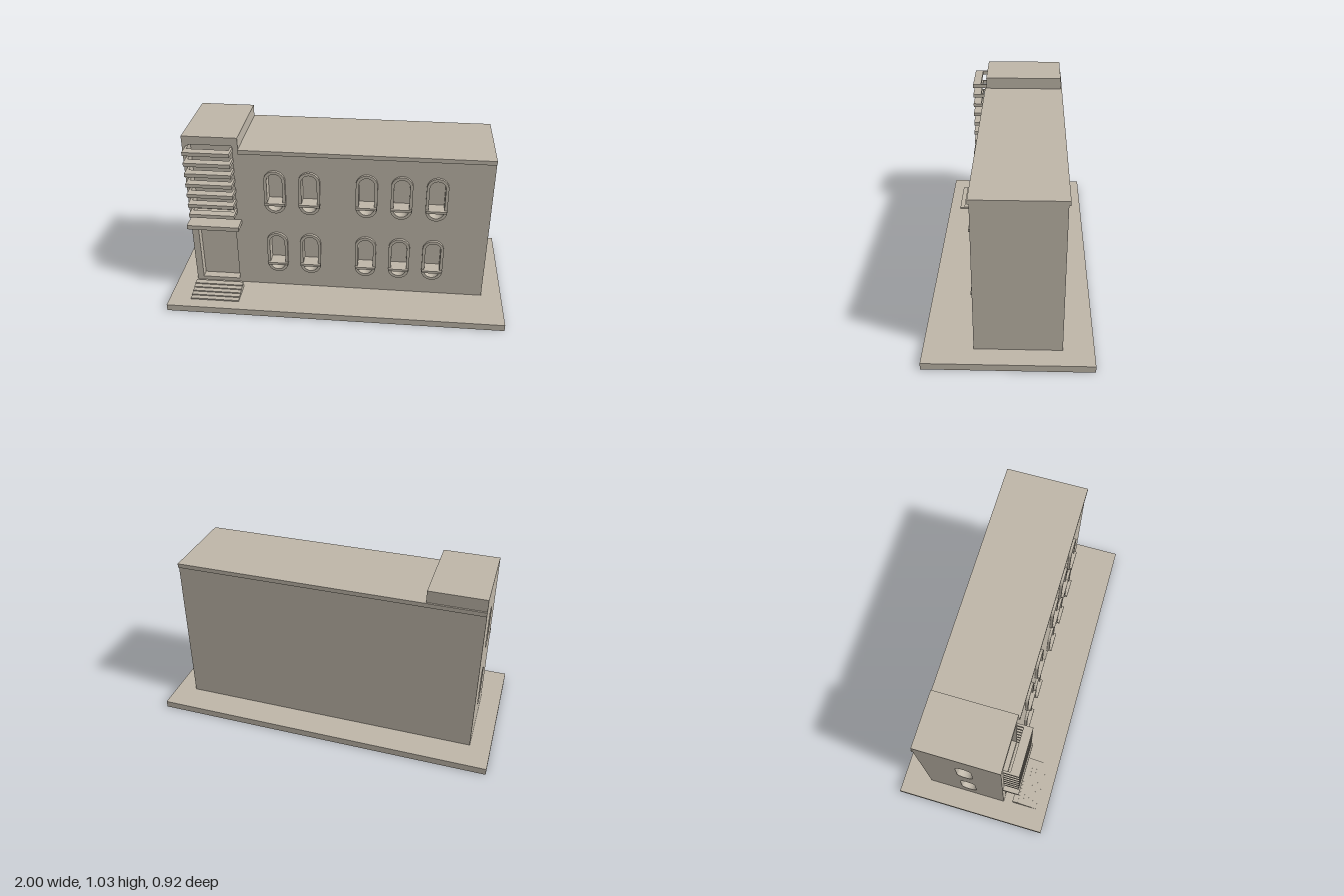
import * as THREE from 'three';

const stone = new THREE.MeshStandardMaterial({ color: 0xbfb7a9 });
stone.name = 'warm stone';

const FRONT = 0.187, BACK = -0.29, RECESS = 0.05, GROUND = 0.04;
const WINDOW_X = [-0.36, -0.16, 0.17, 0.37, 0.57];
const FLOORS = [0.285, 0.7]; // window centre heights

function add(parent, name, geometry) {
  const mesh = new THREE.Mesh(geometry, stone);
  mesh.name = name;
  parent.add(mesh);
  return mesh;
}

// Box given by its extents
function block(parent, name, x0, x1, y0, y1, z0, z1) {
  const mesh = add(parent, name, new THREE.BoxGeometry(x1 - x0, y1 - y0, z1 - z0));
  mesh.position.set((x0 + x1) / 2, (y0 + y1) / 2, (z0 + z1) / 2);
  return mesh;
}

// Upright capsule outline
function capsule(target, cx, cy, r, height) {
  const h = height / 2 - r;
  target.moveTo(cx + r, cy - h);
  target.lineTo(cx + r, cy + h);
  target.absarc(cx, cy + h, r, 0, Math.PI, false);
  target.lineTo(cx - r, cy - h);
  target.absarc(cx, cy - h, r, Math.PI, Math.PI * 2, false);
  return target;
}

function polygon(target, points) {
  return target.setFromPoints([...points, points[0]].map(p => new THREE.Vector2(...p)));
}

function rectangle(target, x0, x1, y0, y1) {
  return polygon(target, [[x0, y0], [x1, y0], [x1, y1], [x0, y1]]);
}

const extrude = (shape, depth) =>
  new THREE.ExtrudeGeometry(shape, { depth, bevelEnabled: false, curveSegments: 14 });

export function createModel() {
  const model = new THREE.Group();
  model.name = 'building';
  const inner = FRONT - RECESS;

  block(model, 'basePlate', -1, 1, 0, GROUND, -0.46, 0.46);

  // Solid body behind the pierced walls
  block(model, 'mainBody', -0.83, 0.88, GROUND, 0.96, BACK, inner);
  block(model, 'towerTop', -0.88, -0.56, 0.96, 1.03, BACK, inner);

  // Front wall with window, door and stairwell openings
  const wall = polygon(new THREE.Shape(), [
    [-0.88, GROUND], [0.88, GROUND], [0.88, 0.96], [-0.56, 0.96], [-0.56, 1.03], [-0.88, 1.03],
  ]);
  for (const y of FLOORS)
    for (const x of WINDOW_X) wall.holes.push(capsule(new THREE.Path(), x, y, 0.045, 0.24));
  wall.holes.push(rectangle(new THREE.Path(), -0.84, -0.61, 0.065, 0.46));
  wall.holes.push(rectangle(new THREE.Path(), -0.845, -0.595, 0.53, 0.98));
  add(model, 'frontWall', extrude(wall, RECESS)).position.z = inner;

  // Tower side wall with two slot windows
  const side = rectangle(new THREE.Shape(), BACK, inner, GROUND, 0.96);
  for (const y of FLOORS) side.holes.push(capsule(new THREE.Path(), -0.03, y, 0.045, 0.26));
  const sideWall = add(model, 'towerSideWall', extrude(side, RECESS));
  sideWall.rotation.y = -Math.PI / 2;
  sideWall.position.x = -0.83;

  // Cornice strips
  block(model, 'frontCornice', -0.56, 0.88, 0.935, 0.96, FRONT, 0.195);
  block(model, 'backCornice', -0.88, 0.88, 0.935, 0.96, -0.3, BACK);

  // Window surrounds and sills
  const ring = capsule(new THREE.Shape(), 0, 0, 0.062, 0.274);
  ring.holes.push(capsule(new THREE.Path(), 0, 0, 0.045, 0.24));
  const ringGeometry = extrude(ring, 0.016);
  for (const y of FLOORS) {
    for (const x of WINDOW_X) {
      const window = new THREE.Group();
      window.name = 'window';
      model.add(window);
      add(window, 'windowSurround', ringGeometry).position.set(x, y, FRONT);
      block(window, 'windowSill', x - 0.045, x + 0.045, y - 0.08, y - 0.065, inner, FRONT);
      block(window, 'windowSillLip', x - 0.06, x + 0.06, y - 0.08, y - 0.065, FRONT, 0.218);
    }
  }

  // Sunshade louvres: slim frames standing off the stairwell
  const louvre = polygon(new THREE.Shape(), [
    [-0.857, -FRONT], [-0.857, -0.275], [-0.59, -0.275], [-0.59, -FRONT],
    [-0.603, -FRONT], [-0.603, -0.225], [-0.844, -0.225], [-0.844, -FRONT],
  ]);
  const louvreGeometry = extrude(louvre, 0.022).rotateX(-Math.PI / 2);
  for (let i = 0; i < 7; i++)
    add(model, 'louvre', louvreGeometry).position.y = 0.55 + i * 0.0667;

  // Entrance canopy and steps
  block(model, 'canopy', -0.877, -0.57, 0.47, 0.496, FRONT, 0.28);
  for (let i = 0; i < 5; i++)
    block(model, 'entranceStep', -0.87, -0.577, GROUND, 0.076 - i * 0.007,
      i ? 0.245 + i * 0.029 : 0.24, 0.274 + i * 0.029);

  return model;
}
